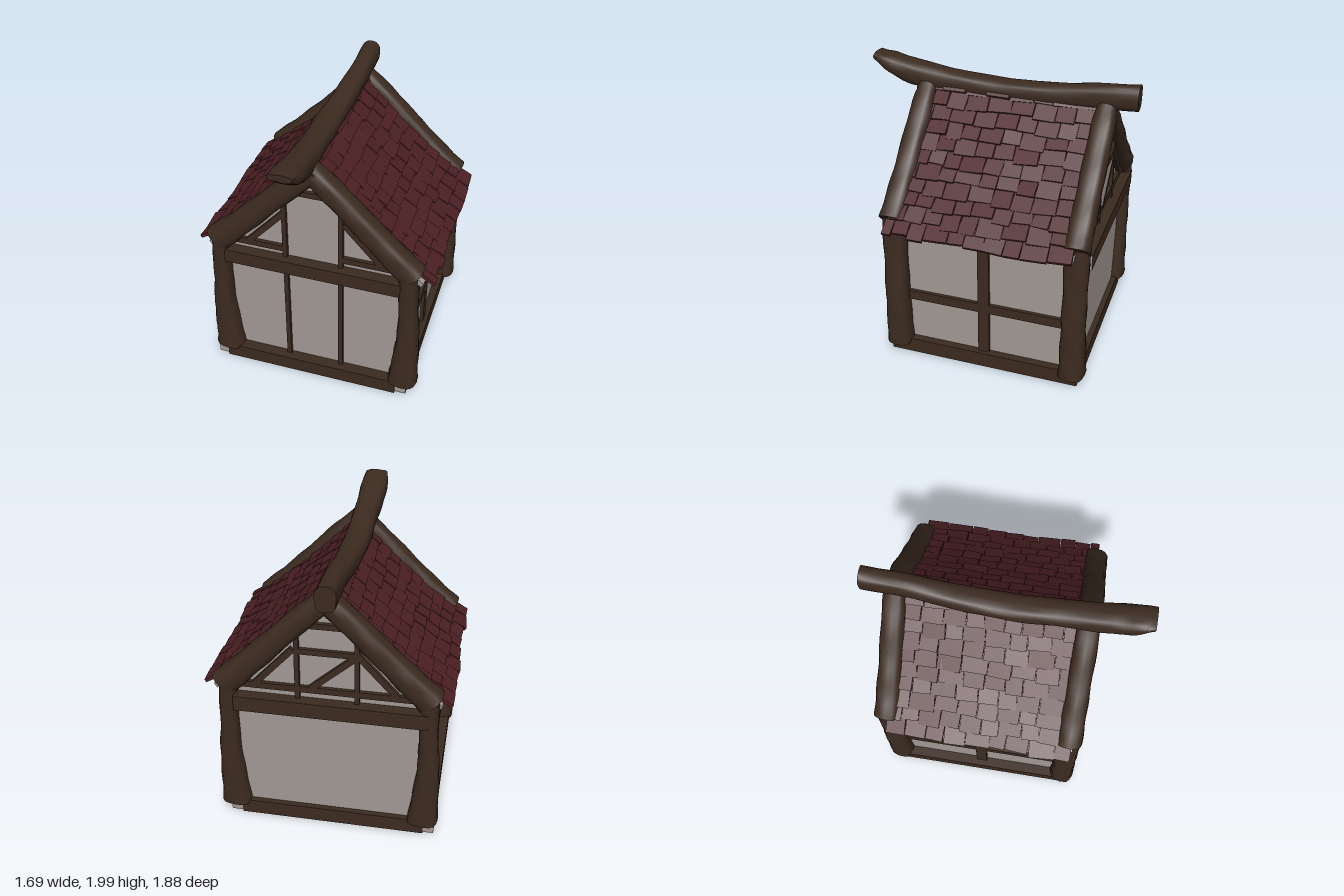
import * as THREE from 'three';
import { mergeGeometries, toCreasedNormals } from 'three/addons/utils/BufferGeometryUtils.js';

const mat = (name, color, side = THREE.FrontSide) => {
  const m = new THREE.MeshStandardMaterial({ color, side });
  m.name = name;
  return m;
};

// Small seeded random generator
let seed = 7;
const rand = () => {
  seed = (seed * 16807) % 2147483647;
  return seed / 2147483647;
};
const jitter = (a) => (rand() - 0.5) * 2 * a;

// Organic log: stations are [x, y, z, radiusU, radiusV], swept with rounded-square sections
function logGeometry(stations, u, v, sides = 16, steps = 24, wobble = 0.003) {
  const path = new THREE.CatmullRomCurve3(stations.map((s) => new THREE.Vector3(s[0], s[1], s[2])));
  const radii = new THREE.CatmullRomCurve3(stations.map((s) => new THREE.Vector3(s[3], s[4], 0)));
  const dir = path.getPoint(1).sub(path.getPoint(0));
  if (u.clone().cross(v).dot(dir) < 0) v = v.clone().negate();
  const round = (c) => Math.sign(c) * Math.pow(Math.abs(c), 0.72);
  const pos = [], index = [];
  for (let i = 0; i <= steps; i++) {
    const c = path.getPoint(i / steps), r = radii.getPoint(i / steps);
    for (let j = 0; j < sides; j++) {
      const a = (j / sides) * Math.PI * 2;
      const w = wobble * Math.sin(i * 0.9 + j * 1.6);
      const p = c.clone()
        .addScaledVector(u, round(Math.cos(a)) * (r.x + w))
        .addScaledVector(v, round(Math.sin(a)) * (r.y + w));
      pos.push(p.x, p.y, p.z);
      if (i < steps) {
        const k = i * sides + j, n = i * sides + ((j + 1) % sides);
        index.push(k, n, n + sides, k, n + sides, k + sides);
      }
    }
  }
  // End caps
  const start = pos.length / 3, last = steps * sides;
  pos.push(...path.getPoint(0).toArray(), ...path.getPoint(1).toArray());
  for (let j = 0; j < sides; j++) {
    const n = (j + 1) % sides;
    index.push(start, n, j, start + 1, last + j, last + n);
  }
  const g = new THREE.BufferGeometry();
  g.setAttribute('position', new THREE.Float32BufferAttribute(pos, 3));
  g.setIndex(index);
  return toCreasedNormals(g, 0.9);
}

export function createModel() {
  const model = new THREE.Group();
  model.name = 'timberHouse';
  const wood = mat('dark wood', 0x3c2b20);
  const plaster = mat('plaster', 0xa29994);
  const red = mat('red shingle', 0x4c2024);
  const X = new THREE.Vector3(1, 0, 0), Y = new THREE.Vector3(0, 1, 0), Z = new THREE.Vector3(0, 0, 1);

  const add = (name, geometry, material) => {
    const m = new THREE.Mesh(geometry, material);
    m.name = name;
    model.add(m);
    return m;
  };
  const box = (name, x0, x1, y0, y1, z0, z1, material = wood) => {
    const m = add(name, new THREE.BoxGeometry(x1 - x0, y1 - y0, z1 - z0), material);
    m.position.set((x0 + x1) / 2, (y0 + y1) / 2, (z0 + z1) / 2);
  };
  // Slanted timber between two points on a gable
  const strut = (name, x0, y0, x1, y1, z) => {
    const m = add(name, new THREE.BoxGeometry(Math.hypot(x1 - x0, y1 - y0), 0.042, 0.03), wood);
    m.position.set((x0 + x1) / 2, (y0 + y1) / 2, z);
    m.rotation.z = Math.atan2(y1 - y0, x1 - x0);
  };

  // Thick gable walls and side walls
  const gable = new THREE.Shape([[-0.68, 0.06], [0.63, 0.06], [0.63, 1.1], [-0.02, 1.74], [-0.68, 1.1]]
    .map((p) => new THREE.Vector2(...p)));
  for (const [name, z] of [['frontWall', 0.475], ['backWall', -0.74]])
    add(name, new THREE.ExtrudeGeometry(gable, { depth: 0.055, bevelEnabled: false }), plaster).position.z = z;
  box('leftWall', 0.58, 0.635, 0.06, 1.12, -0.73, 0.52, plaster);
  box('rightWall', -0.685, -0.63, 0.06, 1.12, -0.73, 0.52, plaster);

  // Base beams and cross beams, with pale end grain
  const endsX = [plaster, plaster, wood, wood, wood, wood];
  const endsZ = [wood, wood, wood, wood, plaster, plaster];
  box('frontSill', -0.68, 0.61, 0.01, 0.12, 0.47, 0.61, endsX);
  box('backSill', -0.68, 0.61, 0.01, 0.12, -0.78, -0.665, endsX);
  box('leftSill', 0.575, 0.69, 0.02, 0.13, -0.775, 0.6, endsZ);
  box('rightSill', -0.755, -0.625, 0.02, 0.13, -0.775, 0.6, endsZ);
  box('frontCrossBeam', -0.68, 0.61, 0.94, 1.045, 0.525, 0.61, endsX);
  box('backCrossBeam', -0.68, 0.61, 0.93, 1.04, -0.82, -0.735, endsX);

  // Side wall timbers: the stud runs through the wall, the rail sits outside
  box('leftStud', 0.575, 0.66, 0.1, 0.99, -0.13, -0.05);
  box('rightStud', -0.71, -0.625, 0.1, 0.99, -0.13, -0.05);
  box('leftRail', 0.63, 0.66, 0.46, 0.53, -0.68, 0.48);
  box('rightRail', -0.71, -0.68, 0.46, 0.53, -0.68, 0.48);

  // Gable timbers
  for (const [end, z, studBase] of [['front', 0.542, 0.1], ['back', -0.752, 1.0]]) {
    const z0 = z - 0.015, z1 = z + 0.015;
    for (const x of [-0.208, 0.185]) {
      const s = Math.sign(x);
      box(end + 'Stud', x - 0.016, x + 0.016, studBase, 1.56, z0, z1);
      strut(end + 'Brace', s * 0.49, 1.1, s * 0.21, 1.41, z);
      box(end + 'LowRail', Math.min(x, s * 0.57), Math.max(x, s * 0.57), 1.09, 1.135, z0, z1);
    }
    box(end + 'Collar', -0.17, 0.14, 1.575, 1.615, z0, z1);
  }
  box('backMiddleRail', -0.21, 0.185, 1.38, 1.42, -0.765, -0.737);
  box('backCenterRail', -0.21, 0.185, 1.09, 1.135, -0.765, -0.737);
  strut('backCenterBrace', -0.19, 1.38, 0.1, 1.12, -0.752);

  // Corner posts and gable logs
  for (const s of [1, -1]) {
    for (const [end, z] of [['front', 0.54], ['back', -0.73]]) {
      const post = [[0.66, 0.1, 0.107, 0.092], [0.67, 0.3, 0.092, 0.086], [0.68, 0.55, 0.076, 0.082],
        [0.672, 0.8, 0.064, 0.082], [0.663, 1.12, 0.064, 0.084]]
        .map(([x, y, rx, rz]) => [s * x - 0.01, y, z, rx, rz]);
      add(end + 'Post', logGeometry(post, X, Z), wood);
      const rafter = [[-0.03, 1.8, 0.075, 0.07], [0.14, 1.645, 0.076, 0.08], [0.36, 1.42, 0.08, 0.08],
        [0.54, 1.238, 0.087, 0.084], [0.69, 1.095, 0.096, 0.088]]
        .map(([x, y, r, rz]) => [s * x - 0.005, y, z, r, rz]);
      add(end + 'GableLog', logGeometry(rafter, new THREE.Vector3(s, 1, 0).normalize(), Z), wood);
    }
  }

  // Sagging ridge log with an upswept, rounded front tip
  const ridge = [[-0.045, 1.885, -0.94, 0.067, 0.087], [-0.045, 1.865, -0.65, 0.069, 0.082],
    [-0.06, 1.835, -0.3, 0.08, 0.068], [-0.07, 1.828, 0.05, 0.088, 0.066], [-0.065, 1.843, 0.35, 0.086, 0.073],
    [-0.065, 1.872, 0.65, 0.092, 0.086], [-0.067, 1.92, 0.82, 0.097, 0.066], [-0.067, 1.972, 0.94, 0.08, 0.026]];
  add('ridgeLog', logGeometry(ridge, X, Y, 20, 36, 0.002), wood);

  // Roof slopes follow a slightly hollow profile from ridge to eaves
  const profile = new THREE.QuadraticBezierCurve(
    new THREE.Vector2(0.015, 1.785), new THREE.Vector2(0.41, 1.37), new THREE.Vector2(0.83, 1.06));
  const rows = 10;
  for (const [side, s] of [['left', 1], ['right', -1]]) {
    // Thin deck below the shingles
    const top = [], bottom = [];
    for (let i = 0; i <= 8; i++) {
      const p = profile.getPointAt(i * 0.118);
      top.push(new THREE.Vector2(s * (p.x - 0.022), p.y - 0.032));
      bottom.unshift(new THREE.Vector2(s * (p.x - 0.04), p.y - 0.062));
    }
    const deck = new THREE.ExtrudeGeometry(new THREE.Shape([...top, ...bottom]), { depth: 1.3, bevelEnabled: false });
    add(side + 'RoofDeck', deck.translate(0, 0, -0.73), plaster);

    // Uneven overlapping shingles, reaching past the gable logs only at the eaves
    const tiles = [];
    for (let r = 0; r < rows; r++) {
      const zEnd = r > 7 ? 0.56 : 0.52;
      let z = (r > 7 ? -0.73 : -0.7) + jitter(0.015);
      while (z < zEnd - 0.03) {
        const w = Math.min(0.11 + rand() * 0.07, zEnd - z);
        const t = Math.min(0.075 + r * 0.0985 + jitter(0.014), 1);
        const p = profile.getPointAt(t), d = profile.getTangentAt(t);
        const sag = 0.012 * Math.cos((Math.PI * (z + w / 2 + 0.09)) / 1.3);
        tiles.push(new THREE.BoxGeometry(0.155, 0.024, w - 0.004)
          .rotateX(jitter(0.06))
          .rotateY(jitter(0.06))
          .rotateZ(s * (Math.atan2(d.y, d.x) + 0.1 + jitter(0.05)))
          .translate(s * (p.x - d.x * 0.05), p.y - d.y * 0.05 - sag, z + w / 2));
        z += w;
      }
    }
    add(side + 'Shingles', mergeGeometries(tiles), red);
  }
  return model;
}
